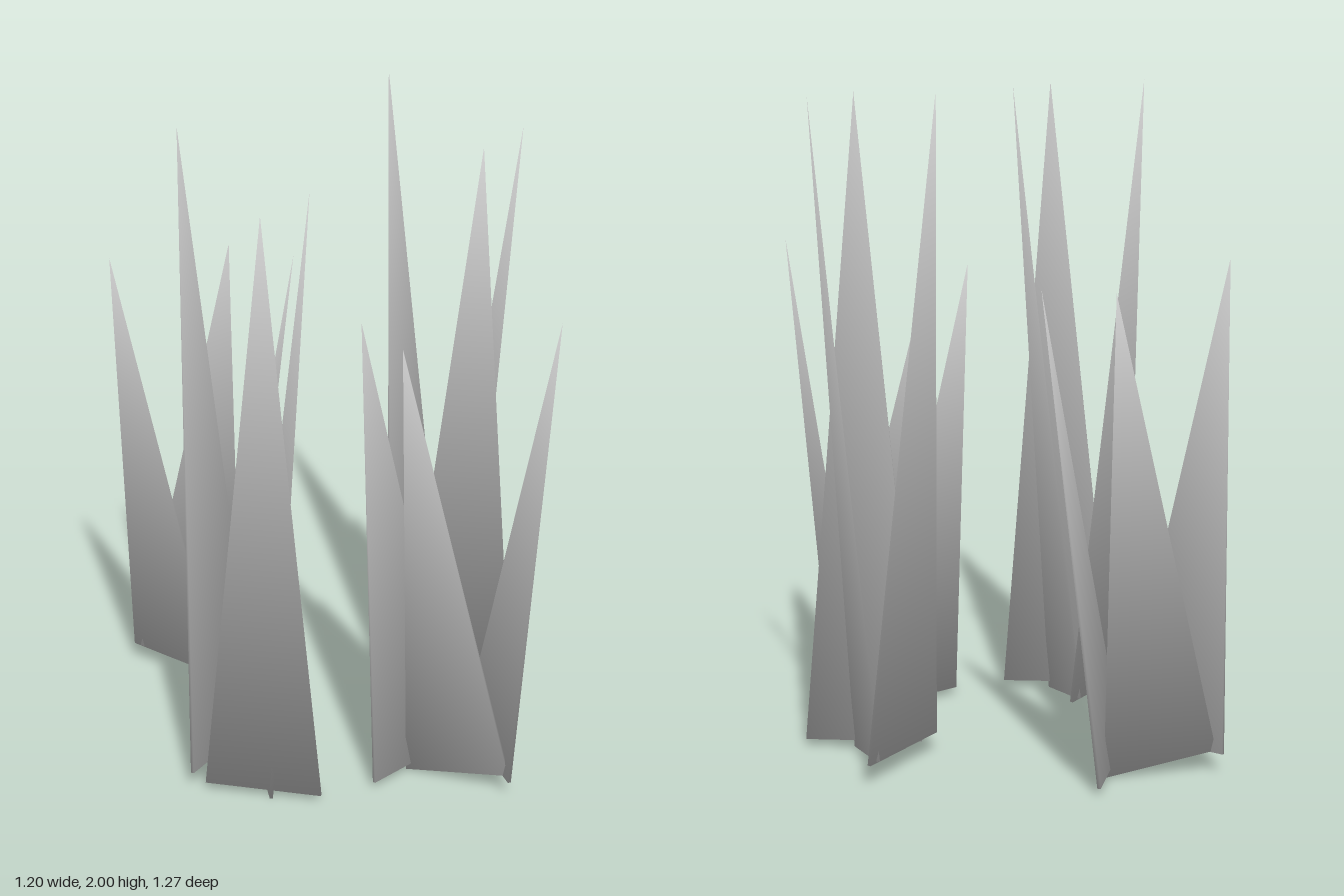
import * as THREE from 'three';

const V = (x, y, z) => new THREE.Vector3(x, y, z);

// Base corners of the three blades in a clump, with the tip for tall and short clumps
const BLADES = [
  { name: 'backBlade', a: V(0.125, 0.06, -0.125), b: V(-0.125, 0.06, 0.125),
    tall: V(-0.065, 2.0, -0.205), short: V(-0.053, 1.5, -0.166) },
  { name: 'frontBlade', a: V(-0.085, 0.03, 0.135), b: V(0.245, 0.02, 0.27),
    tall: V(0.04, 1.96, 0.48), short: V(0.055, 1.44, 0.409) },
  { name: 'sideBlade', a: V(0.1, 0, 0.225), b: V(0.095, 0.065, -0.11),
    tall: V(0.208, 1.96, 0.31), short: V(0.185, 1.44, 0.22) },
];

// Position, turn in degrees and size of each clump
const CLUMPS = [
  { name: 'rightClump', x: 0.355, z: -0.275, turn: 0, size: 'tall' },
  { name: 'leftClump', x: -0.37, z: 0.155, turn: 0, size: 'tall' },
  { name: 'backShortClump', x: -0.4325, z: -0.4125, turn: 85.4, size: 'short' },
  { name: 'frontShortClump', x: 0.411, z: 0.368, turn: -128.3, size: 'short' },
];

// Thin four-sided spike; rounded normals spread outwards at the base and up at the tip
function bladeGeometry(a, b, tip, thickness = 0.01) {
  const side = b.clone().sub(a).normalize();
  const axis = tip.clone().sub(a.clone().lerp(b, 0.5)).normalize();
  const face = side.clone().cross(axis).normalize();
  const points = [];
  const normals = [];
  for (const [corner, s, f] of [[a, -1, 1], [b, 1, 1], [b, 1, -1], [a, -1, -1]]) {
    points.push(corner.clone().addScaledVector(face, f * thickness / 2));
    const normal = face.clone().multiplyScalar(f).addScaledVector(side, s).sub(axis);
    normals.push(...normal.normalize().toArray());
  }
  points.push(tip);
  normals.push(...axis.toArray());

  const geometry = new THREE.BufferGeometry().setFromPoints(points);
  geometry.setAttribute('normal', new THREE.Float32BufferAttribute(normals, 3));
  geometry.setIndex([0, 1, 4, 1, 2, 4, 2, 3, 4, 3, 0, 4, 1, 0, 3, 1, 3, 2]);
  return geometry;
}

export function createModel() {
  const model = new THREE.Group();
  model.name = 'grassPatch';
  const material = new THREE.MeshStandardMaterial({ color: 0xcccccc });

  for (const { name, x, z, turn, size } of CLUMPS) {
    const clump = new THREE.Group();
    clump.name = name;
    clump.position.set(x, 0, z);
    clump.rotation.y = THREE.MathUtils.degToRad(turn);
    for (const blade of BLADES) {
      const mesh = new THREE.Mesh(bladeGeometry(blade.a, blade.b, blade[size]), material);
      mesh.name = blade.name;
      clump.add(mesh);
    }
    model.add(clump);
  }
  return model;
}
